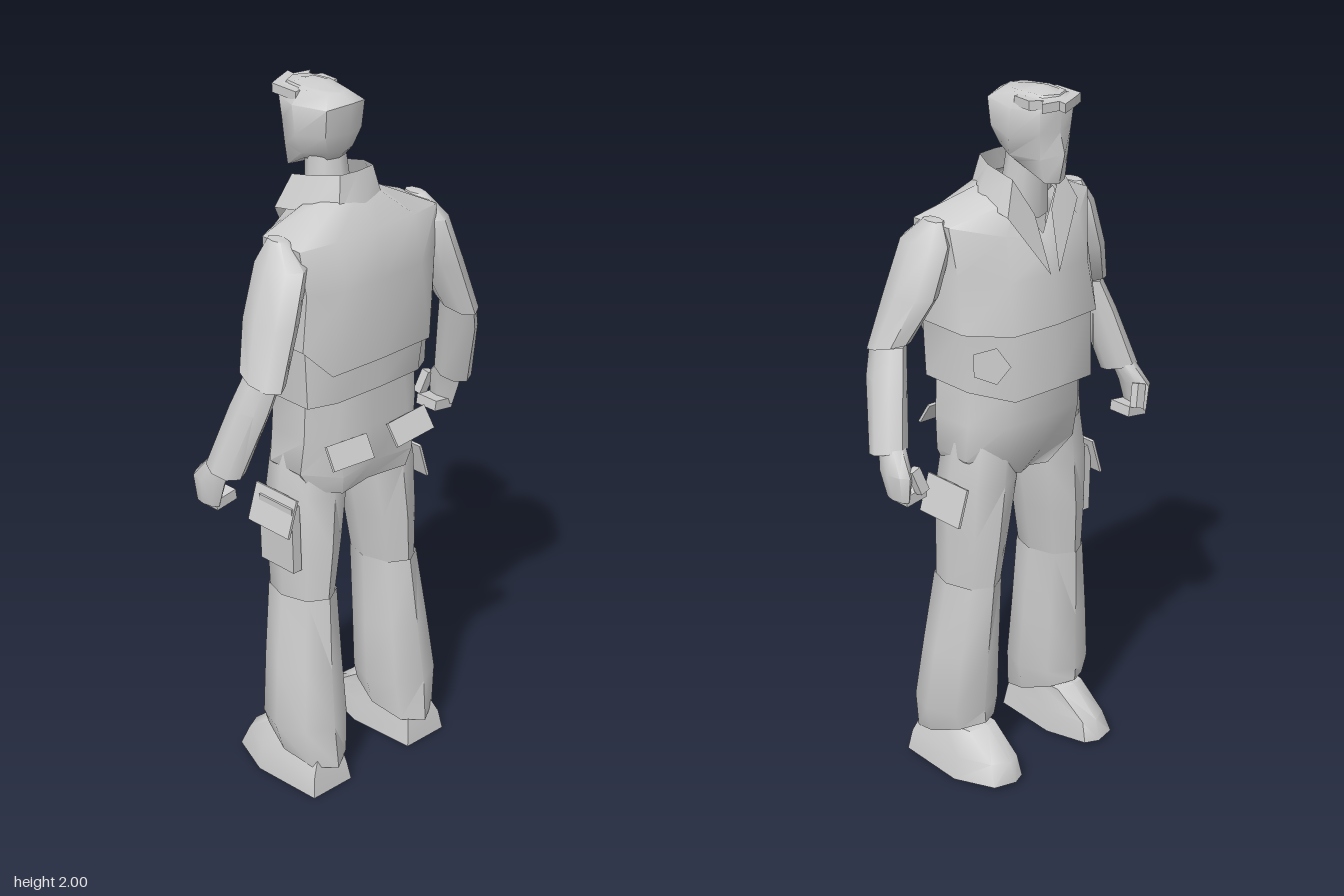
import * as THREE from 'three';
import { toCreasedNormals } from 'three/addons/utils/BufferGeometryUtils.js';

const grey = new THREE.MeshStandardMaterial({ color: 0xcccccc, side: THREE.DoubleSide });
grey.name = 'plain grey';

function part(name, geometry, parent) {
  const mesh = new THREE.Mesh(geometry, grey);
  mesh.name = name;
  parent.add(mesh);
  return mesh;
}

// Skin a stack of rings, listed from top to bottom
function loft(rings, { open = false, top = false, bottom = false } = {}) {
  const n = rings[0].length, pos = rings.flat(2), index = [];
  for (let i = 0; i < rings.length - 1; i++) {
    for (let j = 0; j < (open ? n - 1 : n); j++) {
      const k = (j + 1) % n, a = i * n + j, b = i * n + k;
      index.push(a, b, b + n, a, b + n, a + n);
    }
  }
  const cap = (ring, first, up) => {
    const c = pos.length / 3;
    for (let d = 0; d < 3; d++) pos.push(ring.reduce((s, p) => s + p[d], 0) / n);
    for (let j = 0; j < n; j++) {
      const a = first + j, b = first + (j + 1) % n;
      index.push(c, up ? b : a, up ? a : b);
    }
  };
  if (top) cap(rings[0], 0, true);
  if (bottom) cap(rings[rings.length - 1], (rings.length - 1) * n, false);
  const g = new THREE.BufferGeometry();
  g.setAttribute('position', new THREE.Float32BufferAttribute(pos, 3));
  g.setIndex(index);
  return toCreasedNormals(g, 0.9);
}

// Complete a half outline (face side to back side) by mirroring it in x
const mirror = half => [...half, ...half.filter(p => p[0] > 0).reverse().map(([x, y, z]) => [-x, y, z])];

// Oval ring: centre, two radii, and a rise towards the face side
const oval = ([cx, cy, cz, rx, rz, tilt = 0]) => Array.from({ length: 8 }, (_, i) => {
  const t = i * Math.PI / 4;
  return [cx + rx * Math.sin(t), cy + tilt * Math.cos(t), cz - rz * Math.cos(t)];
});
const limb = (rows, caps) => loft(rows.map(oval), caps);

function box(name, size, at, turn, parent) {
  const m = part(name, new THREE.BoxGeometry(...size), parent);
  m.position.set(...at);
  m.rotation.set(...turn);
  return m;
}

function buildTorso(g) {
  part('jacket', loft([
    [[0, 1.6, -0.1], [0.07, 1.7, -0.07], [0.1, 1.71, 0], [0.1, 1.72, 0.05], [0.06, 1.73, 0.085], [0, 1.73, 0.09]],
    [[0, 1.57, -0.125], [0.13, 1.62, -0.1], [0.25, 1.65, -0.01], [0.25, 1.645, 0.13], [0.14, 1.65, 0.155], [0, 1.65, 0.16]],
    [[0, 1.5, -0.142], [0.14, 1.5, -0.125], [0.235, 1.52, -0.025], [0.235, 1.52, 0.14], [0.14, 1.52, 0.185], [0, 1.52, 0.186]],
    [[0, 1.36, -0.16], [0.15, 1.36, -0.15], [0.24, 1.36, -0.05], [0.24, 1.36, 0.13], [0.18, 1.29, 0.18], [0, 1.29, 0.185]],
  ].map(mirror)), g);

  part('shirt', loft([
    [[0, 1.38, -0.15], [0.14, 1.38, -0.14], [0.23, 1.38, -0.045], [0.23, 1.38, 0.125], [0.17, 1.33, 0.17], [0, 1.33, 0.172]],
    [[0, 1.18, -0.165], [0.14, 1.17, -0.145], [0.22, 1.19, -0.045], [0.22, 1.19, 0.125], [0.15, 1.2, 0.168], [0, 1.2, 0.172]],
  ].map(mirror)), g);

  part('collar', loft([
    [[0.03, 1.66, -0.1], [0.085, 1.76, -0.075], [0.085, 1.78, 0.02], [0.06, 1.79, 0.08], [0, 1.79, 0.087]],
    [[0.015, 1.5, -0.148], [0.125, 1.67, -0.1], [0.12, 1.69, 0.03], [0.08, 1.69, 0.1], [0, 1.69, 0.115]],
  ].map(mirror), { open: true }), g);

  part('trouserSeat', loft([
    [[0, 1.2, -0.13], [0.12, 1.2, -0.115], [0.2, 1.2, -0.03], [0.205, 1.2, 0.1], [0.12, 1.2, 0.145], [0, 1.2, 0.15]],
    [[0, 1.08, -0.12], [0.13, 1.08, -0.105], [0.207, 1.08, -0.03], [0.21, 1.08, 0.1], [0.13, 1.08, 0.15], [0, 1.08, 0.15]],
    [[0, 0.98, -0.1], [0.12, 0.98, -0.095], [0.215, 0.98, -0.03], [0.215, 0.98, 0.09], [0.13, 0.97, 0.168], [0, 0.97, 0.15]],
    [[0, 0.91, -0.05], [0.05, 0.91, -0.07], [0.15, 0.92, -0.02], [0.18, 0.92, 0.1], [0.12, 0.915, 0.155], [0, 0.91, 0.13]],
  ].map(mirror), { bottom: true }), g);
}

function buildHead(g) {
  part('neck', limb([[0, 1.84, -0.04, 0.055, 0.05], [0, 1.64, -0.02, 0.07, 0.065]]), g);
  part('head', loft([
    [[0, 1.99, -0.16], [0.04, 1.99, -0.14], [0.05, 1.99, -0.07], [0.035, 1.985, 0.01], [0, 1.985, 0.025]],
    [[0, 1.95, -0.168], [0.06, 1.95, -0.15], [0.088, 1.95, -0.07], [0.068, 1.955, 0.04], [0, 1.965, 0.063]],
    [[0, 1.89, -0.163], [0.055, 1.89, -0.145], [0.087, 1.87, -0.06], [0.065, 1.88, 0.032], [0, 1.88, 0.052]],
    [[0, 1.835, -0.18], [0.05, 1.82, -0.14], [0.075, 1.82, -0.05], [0.045, 1.83, 0.02], [0, 1.83, 0.038]],
    [[0, 1.75, -0.16], [0.035, 1.755, -0.145], [0.055, 1.8, -0.06], [0.03, 1.8, 0], [0, 1.8, 0.01]],
  ].map(mirror), { top: true, bottom: true }), g);

  // Jagged fringe swept over the brow
  const outline = [[-0.075, -0.07], [-0.07, -0.165], [-0.03, -0.185], [0.03, -0.212], [0.025, -0.185],
    [0.077, -0.175], [0.05, -0.152], [0.08, -0.13], [0.075, -0.07]];
  const fringe = new THREE.ExtrudeGeometry(new THREE.Shape(outline.map(p => new THREE.Vector2(...p))),
    { depth: 0.025, bevelEnabled: false });
  const m = part('hairFringe', fringe, g);
  m.rotation.x = Math.PI / 2;
  m.position.y = 1.982;
  part('hairCrest', loft([
    [[0, 2, -0.1], [0.015, 2, -0.095], [0.01, 1.997, -0.06], [0, 1.995, -0.04]],
    [[0, 1.98, -0.185], [0.055, 1.98, -0.15], [0.055, 1.985, -0.05], [0, 1.984, 0.03]],
  ].map(mirror), { top: true }), g);
}

// One arm, leg, shoe and their pockets, on the +x side
function buildSide(name) {
  const s = new THREE.Group();
  s.name = name;

  part('sleeve', limb([
    [0.25, 1.66, 0.05, 0.02, 0.035], [0.258, 1.6, 0.07, 0.055, 0.085], [0.305, 1.46, 0.08, 0.06, 0.088],
    [0.362, 1.32, 0.108, 0.05, 0.07, 0.02],
  ], { top: true, bottom: true }), s);
  part('forearm', limb([
    [0.362, 1.33, 0.11, 0.04, 0.06], [0.388, 1.24, 0.088, 0.046, 0.066], [0.43, 1.06, 0.035, 0.05, 0.056, 0.015],
  ], { bottom: true }), s);
  part('palm', limb([
    [0.43, 1.08, 0.02, 0.032, 0.04], [0.446, 1.02, -0.012, 0.032, 0.058], [0.445, 0.945, -0.02, 0.02, 0.042],
  ], { bottom: true }), s);
  box('fingers', [0.07, 0.03, 0.075], [0.415, 0.952, -0.02], [0, 0, -0.15], s);
  box('thumb', [0.03, 0.07, 0.026], [0.412, 1.0, -0.06], [0.2, 0, -0.3], s);

  part('thigh', limb([
    [0.118, 1.02, 0.02, 0.095, 0.11], [0.13, 0.9, 0.022, 0.105, 0.115], [0.145, 0.74, 0.028, 0.09, 0.115],
    [0.157, 0.58, 0.033, 0.075, 0.105],
  ]), s);
  part('trouserLeg', limb([
    [0.157, 0.595, 0.034, 0.08, 0.11], [0.17, 0.38, 0.05, 0.1, 0.115], [0.178, 0.2, 0.064, 0.113, 0.122],
    [0.175, 0.115, 0.07, 0.092, 0.128, 0.045],
  ]), s);

  part('shoe', loft([
    [[0.17, 0.15, -0.06], [0.22, 0.14, -0.04], [0.235, 0.14, 0.06], [0.215, 0.13, 0.16], [0.14, 0.13, 0.16], [0.12, 0.14, 0.06], [0.125, 0.14, -0.04]],
    [[0.17, 0.07, -0.155], [0.22, 0.07, -0.13], [0.262, 0.07, -0.03], [0.25, 0.06, 0.178], [0.125, 0.06, 0.178], [0.105, 0.07, -0.02], [0.13, 0.07, -0.14]],
    [[0.165, 0.01, -0.173], [0.23, 0.01, -0.155], [0.272, 0, -0.03], [0.26, 0, 0.187], [0.115, 0, 0.187], [0.1, 0, -0.02], [0.125, 0.01, -0.155]],
  ], { top: true, bottom: true }), s);

  // Flared flaps over the seat and the hip
  box('backPocketFlap', [0.145, 0.07, 0.008], [0.115, 1.045, 0.177], [-0.55, 0, 0.06], s);
  box('hipPocketFlap', [0.008, 0.11, 0.16], [0.252, 0.86, 0.02], [0, 0, 0.3], s);

  // Five-sided patch on the shirt
  const patch = part('shirtPatch', new THREE.CircleGeometry(0.055, 5), s);
  patch.position.set(0.189, 1.275, -0.101);
  patch.lookAt(0.189 + 0.74, 1.275, -0.101 - 0.67);
  return s;
}

export function createModel() {
  const model = new THREE.Group();
  model.name = 'standingMan';
  buildTorso(model);
  buildHead(model);
  const left = buildSide('leftLimbs'), right = buildSide('rightLimbs');
  right.scale.x = -1;
  model.add(left, right);
  // Deeper pocket on one thigh only
  box('thighPocket', [0.03, 0.2, 0.13], [-0.235, 0.79, 0.03], [0, 0, 0.03], model);
  return model;
}
